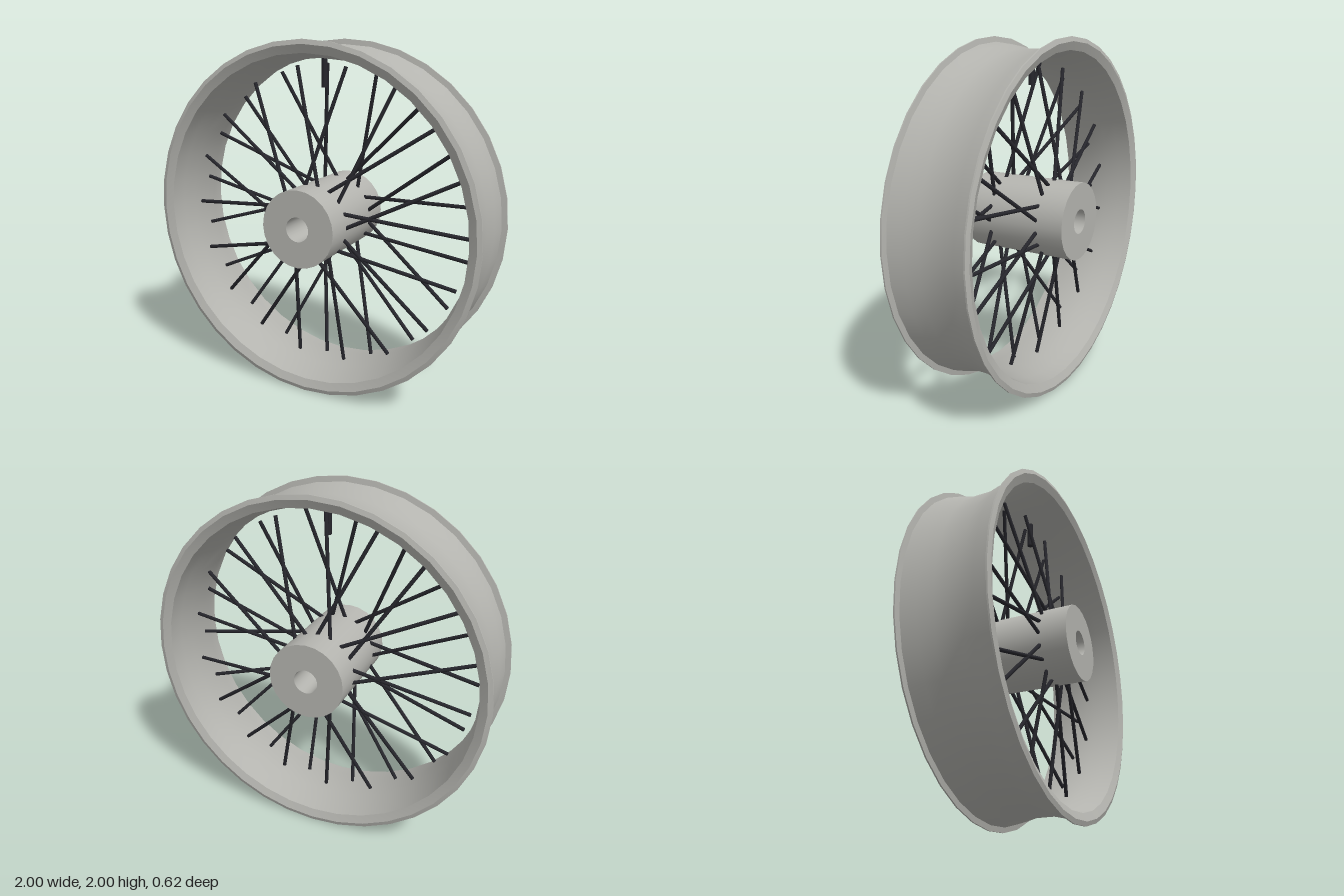
import * as THREE from 'three';
import { toCreasedNormals } from 'three/addons/utils/BufferGeometryUtils.js';

const metal = new THREE.MeshStandardMaterial({ color: 0xb4b4af });
metal.name = 'brushed metal';
const dark = new THREE.MeshStandardMaterial({ color: 0x26262c });
dark.name = 'dark spoke';

// Closed [radius, z] profile turned around the z axis
function turned(name, profile, segments) {
  const points = [...profile, profile[0]].map(([r, z]) => new THREE.Vector2(r, z));
  const geometry = new THREE.LatheGeometry(points, segments);
  geometry.rotateX(Math.PI / 2);
  const mesh = new THREE.Mesh(toCreasedNormals(geometry, 0.42), metal);
  mesh.name = name;
  return mesh;
}

// Thin round rod between two points
function rod(name, a, b, radius, sides) {
  const geometry = new THREE.CylinderGeometry(radius, radius, a.distanceTo(b), sides);
  const mesh = new THREE.Mesh(geometry, dark);
  mesh.position.copy(a).lerp(b, 0.5);
  mesh.quaternion.setFromUnitVectors(new THREE.Vector3(0, 1, 0), b.clone().sub(a).normalize());
  mesh.name = name;
  return mesh;
}

const polar = (r, degrees, z) => {
  const t = THREE.MathUtils.degToRad(degrees);
  return new THREE.Vector3(r * Math.cos(t), r * Math.sin(t), z);
};

export function createModel() {
  const model = new THREE.Group();
  model.name = 'spokedWheel';
  const wheel = new THREE.Group();
  wheel.name = 'wheel';
  wheel.position.y = 1;
  model.add(wheel);

  // Rim: dished outer wall, raised lips and a parallel inner wall
  const outer = [[0.935, 0.07], [0.955, 0.15], [0.97, 0.232], [1, 0.238], [1, 0.246], [0.975, 0.254]];
  const inner = [[0.93, 0.235], [0.917, 0.15], [0.902, 0.07]];
  const half = [...outer, ...inner];
  const mirrored = half.map(([r, z]) => [r, -z]).reverse();
  wheel.add(turned('rim', [...half, ...mirrored], 36));

  // Hub with an axle hole right through
  wheel.add(turned('hub', [[0.22, -0.31], [0.22, 0.31], [0.07, 0.31], [0.07, -0.31]], 24));

  // Crossed spokes: pairs lean alternately, hub ends alternate front and back
  const spokes = new THREE.Group();
  spokes.name = 'spokes';
  for (let i = 0; i < 36; i++) {
    const lean = i % 4 < 2 ? 22 : -22;
    const side = i % 2 === 0 ? 1 : -1;
    const hubEnd = polar(0.205, i * 10 + lean, side * 0.15);
    const rimEnd = polar(0.87, i * 10, side * 0.035);
    spokes.add(rod('spoke', hubEnd, rimEnd, 0.011, 8));
  }
  wheel.add(spokes);

  // Valve stem at the top of the rim
  wheel.add(rod('valveStem', polar(0.74, 90, 0), polar(0.91, 90, 0), 0.017, 12));

  return model;
}
